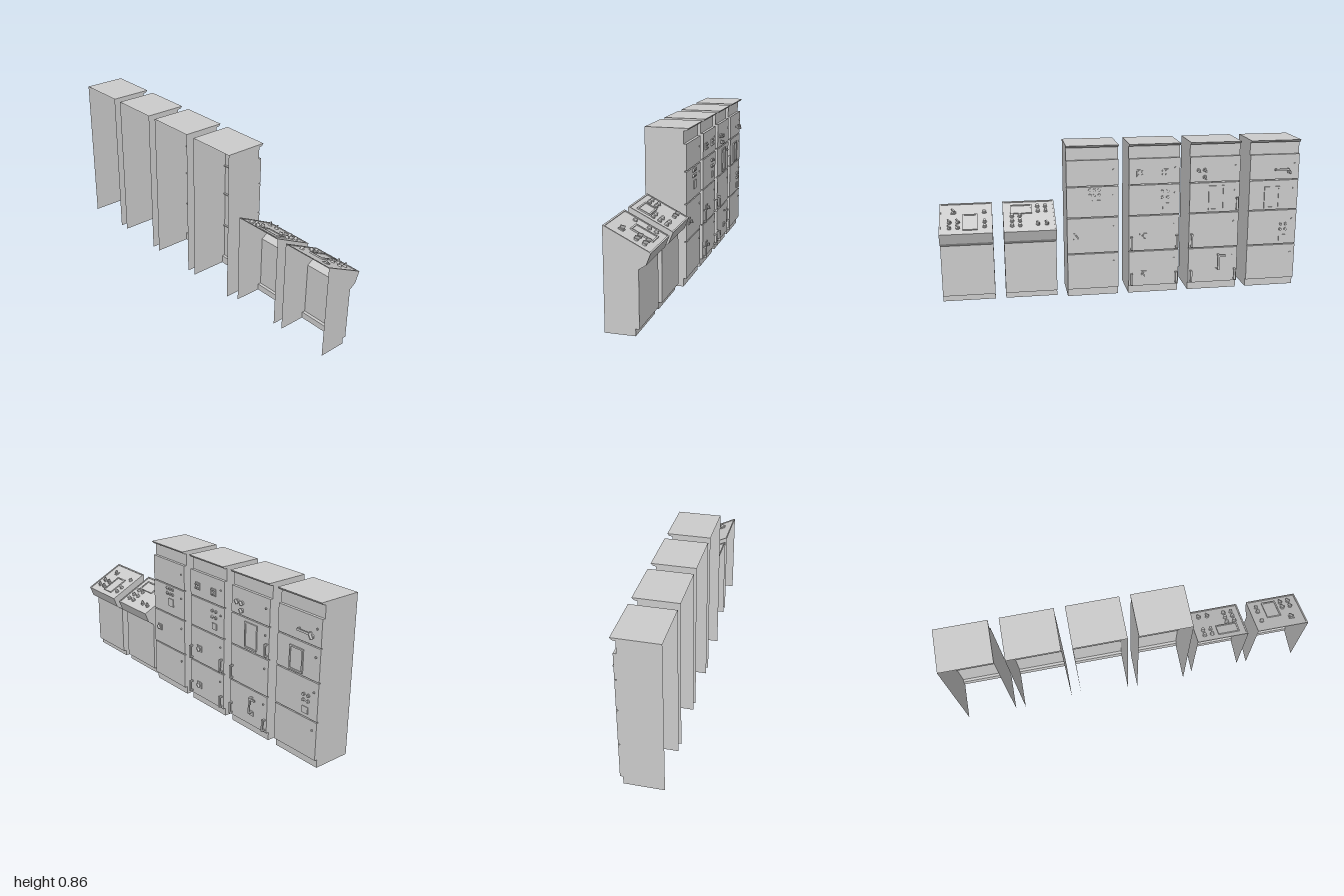
import * as THREE from 'three';

const W = 0.285; // width of every unit
const PITCH = 0.343;
const mat = new THREE.MeshStandardMaterial({ color: 0xcccccc, side: THREE.DoubleSide });

function add(parent, name, geo, x = 0, y = 0, z = 0) {
  const m = new THREE.Mesh(geo, mat);
  m.name = name;
  m.position.set(x, y, z);
  parent.add(m);
  return m;
}
const box = (parent, name, w, h, d, x, y, z) =>
  add(parent, name, new THREE.BoxGeometry(w, h, d), x, y, z);

// Folded sheet metal following a [z, y] profile across the unit width
function foldedSheet(profile) {
  const pos = [];
  const h = W / 2;
  for (let i = 0; i < profile.length - 1; i++) {
    const [z0, y0] = profile[i], [z1, y1] = profile[i + 1];
    const a = [-h, y0, z0], b = [h, y0, z0], c = [h, y1, z1], d = [-h, y1, z1];
    pos.push(...a, ...d, ...c, ...a, ...c, ...b);
  }
  const g = new THREE.BufferGeometry();
  g.setAttribute('position', new THREE.Float32BufferAttribute(pos, 3));
  g.computeVertexNormals();
  return g;
}

// Sheet shell with two side walls, open at the rear and underneath
function shell(parent, profile, backZ) {
  add(parent, 'foldedSkin', foldedSheet(profile));
  const outline = [...profile, [backZ, 0]].map(([z, y]) => new THREE.Vector2(z, y));
  const side = new THREE.ShapeGeometry(new THREE.Shape(outline)).rotateY(-Math.PI / 2);
  add(parent, 'rightWall', side, -W / 2);
  add(parent, 'leftWall', side, W / 2);
}

// Fittings sit on a face whose local y points outwards and local z points up
const fit = {
  button(f, u, v, r = 0.011, h = 0.012) {
    add(f, 'buttonCollar', new THREE.CylinderGeometry(r, r, 0.005, 16), u, 0.0025, v);
    add(f, 'button', new THREE.CylinderGeometry(r * 0.75, r * 0.8, h, 16), u, h / 2, v);
  },
  knob(f, u, v) {
    add(f, 'knobBase', new THREE.CylinderGeometry(0.011, 0.011, 0.008, 16), u, 0.004, v);
    const grip = box(f, 'knobGrip', 0.007, 0.014, 0.024, u, 0.014, v);
    grip.rotation.y = 0.6;
  },
  plate(f, u, v, w, h) {
    box(f, 'plate', w, 0.005, h, u, 0.0025, v);
  },
  // Display with a raised frame around it
  screen(f, u, v, w, h) {
    const t = 0.008;
    box(f, 'screen', w - 2 * t, 0.003, h - 2 * t, u, 0.0015, v);
    for (const s of [-1, 1]) {
      box(f, 'screenFrame', w, 0.007, t, u, 0.0035, v + s * (h - t) / 2);
      box(f, 'screenFrame', t, 0.007, h - 2 * t, u + s * (w - t) / 2, 0.0035, v);
    }
  },
  // Bow handle, upright unless flat is set
  handle(f, u, v, len, reach = 0.02, flat = false) {
    const g = new THREE.Group();
    g.name = 'handle';
    g.position.set(u, 0, v);
    if (flat) g.rotation.y = Math.PI / 2;
    box(g, 'handleBar', 0.011, 0.007, len, 0, reach - 0.0035, 0);
    for (const s of [-1, 1]) {
      box(g, 'handlePost', 0.011, reach - 0.007, 0.008, 0, (reach - 0.007) / 2, s * (len / 2 - 0.004));
    }
    f.add(g);
  },
  lock(f, u, v) {
    add(f, 'lock', new THREE.CylinderGeometry(0.005, 0.005, 0.006, 10), u, 0.003, v);
  },
};

function grid(fn, f, us, vs, ...rest) {
  for (const u of us) for (const v of vs) fn(f, u, v, ...rest);
}

// Tall cabinet: plinth, four door panels split by grooves, sloping cornice
function cabinet(index) {
  const g = new THREE.Group();
  g.name = 'cabinet' + (index + 1);
  g.position.x = -1 + W / 2 + index * PITCH;
  const inZ = -0.082, outZ = -0.098, seam = -0.088;
  const profile = [[inZ, 0], [inZ, 0.045], [outZ, 0.045]];
  for (const y of [0.25, 0.455, 0.63]) {
    profile.push([outZ, y - 0.003], [seam, y - 0.003], [seam, y + 0.003], [outZ, y + 0.003]);
  }
  profile.push([outZ, 0.775], [inZ, 0.775], [inZ, 0.842], [-0.1, 0.845], [-0.11, 0.857], [0.128, 0.857]);
  shell(g, profile, 0.128);

  const face = new THREE.Group();
  face.name = 'doorFittings';
  face.rotation.x = -Math.PI / 2;
  face.position.z = outZ;
  g.add(face);
  return [g, face];
}

// Low control desk with a sloping, rimmed top
function desk(index) {
  const g = new THREE.Group();
  g.name = 'desk' + (index - 3);
  g.position.x = -1 + W / 2 + index * PITCH;
  shell(g, [[-0.052, 0], [-0.052, 0.035], [-0.07, 0.035], [-0.07, 0.322], [-0.105, 0.345],
    [-0.127, 0.4], [0.1, 0.513]], 0.1);

  const face = new THREE.Group();
  face.name = 'deskTop';
  face.position.set(0, 0.4565, -0.0135);
  face.rotation.x = -Math.atan2(0.113, 0.227);
  const len = Math.hypot(0.113, 0.227), t = 0.008;
  for (const s of [-1, 1]) {
    box(face, 'rim', W, 0.004, t, 0, 0.002, s * (len - t) / 2);
    box(face, 'rim', t, 0.004, len - 2 * t, s * (W - t) / 2, 0.002, 0);
  }
  g.add(face);
  return [g, face];
}

export function createModel() {
  const model = new THREE.Group();
  model.name = 'switchboardRow';
  const units = [0, 1, 2, 3].map(cabinet).concat([4, 5].map(desk));
  units.forEach(([g]) => model.add(g));
  const [c1, c2, c3, c4, d1, d2] = units.map(([, f]) => f);

  // Cabinet 1: lever, display, push buttons
  fit.handle(c1, -0.04, 0.69, 0.08, 0.021, true);
  fit.knob(c1, -0.085, 0.675);
  fit.screen(c1, 0.01, 0.53, 0.09, 0.125);
  grid(fit.button, c1, [-0.08, -0.05], [0.34, 0.37], 0.009, 0.01);
  fit.plate(c1, -0.062, 0.29, 0.04, 0.035);

  // Cabinet 2: selector knobs, display, switch lever, door handles
  fit.knob(c2, 0.095, 0.7);
  grid(fit.knob, c2, [0.06], [0.66, 0.7]);
  fit.screen(c2, -0.01, 0.54, 0.09, 0.14);
  fit.handle(c2, -0.03, 0.165, 0.09, 0.024);
  box(c2, 'leverArm', 0.04, 0.007, 0.011, -0.05, 0.02, 0.204);
  fit.plate(c2, -0.03, 0.115, 0.03, 0.025);
  fit.handle(c2, -0.128, 0.505, 0.07);
  fit.handle(c2, 0.128, 0.3, 0.075);
  grid(fit.handle, c2, [-0.128, 0.128], [0.088], 0.065);

  // Cabinet 3: meters, buttons, selector knobs, door handles
  for (const u of [0.08, -0.055]) {
    fit.plate(c3, u, 0.695, 0.04, 0.04);
    grid(fit.button, c3, [u - 0.01, u + 0.01], [0.685, 0.705], 0.007, 0.012);
  }
  grid(fit.button, c3, [-0.075, -0.045], [0.555, 0.59], 0.009, 0.009);
  fit.plate(c3, -0.065, 0.505, 0.035, 0.035);
  for (const v of [0.115, 0.335]) {
    fit.plate(c3, 0.062, v, 0.04, 0.035);
    fit.knob(c3, 0.062, v);
  }
  grid(fit.handle, c3, [-0.128, 0.128], [0.3], 0.075);
  grid(fit.handle, c3, [-0.128, 0.128], [0.088], 0.065);

  // Cabinet 4: button block, label plate, main switch
  grid(fit.button, c4, [-0.035, -0.01, 0.015], [0.58, 0.61], 0.009, 0.008);
  fit.plate(c4, -0.02, 0.53, 0.045, 0.045);
  fit.plate(c4, 0.09, 0.352, 0.035, 0.035);
  fit.knob(c4, 0.09, 0.352);

  // Door locks beside the right edge
  for (const c of [c1, c2, c3, c4]) grid(fit.lock, c, [-0.115], [0.2, 0.4, 0.58, 0.72]);

  // Desk 1: selector knobs, buttons, display
  grid(fit.knob, d1, [-0.093, -0.045], [-0.07]);
  grid(fit.button, d1, [0.052, 0.095], [-0.074, -0.035, 0.004], 0.012, 0.015);
  grid(fit.button, d1, [-0.093, -0.05], [0.038, 0.078], 0.012, 0.015);
  fit.screen(d1, 0.042, 0.057, 0.12, 0.072);

  // Desk 2: button column, display, selector knobs, key switch
  grid(fit.button, d2, [-0.1], [-0.069, -0.03, 0.048], 0.012, 0.015);
  fit.screen(d2, -0.022, -0.032, 0.08, 0.125);
  grid(fit.knob, d2, [0.043, 0.088], [-0.074, -0.03]);
  fit.plate(d2, 0.068, 0.055, 0.028, 0.028);
  fit.knob(d2, 0.068, 0.055);
  return model;
}
